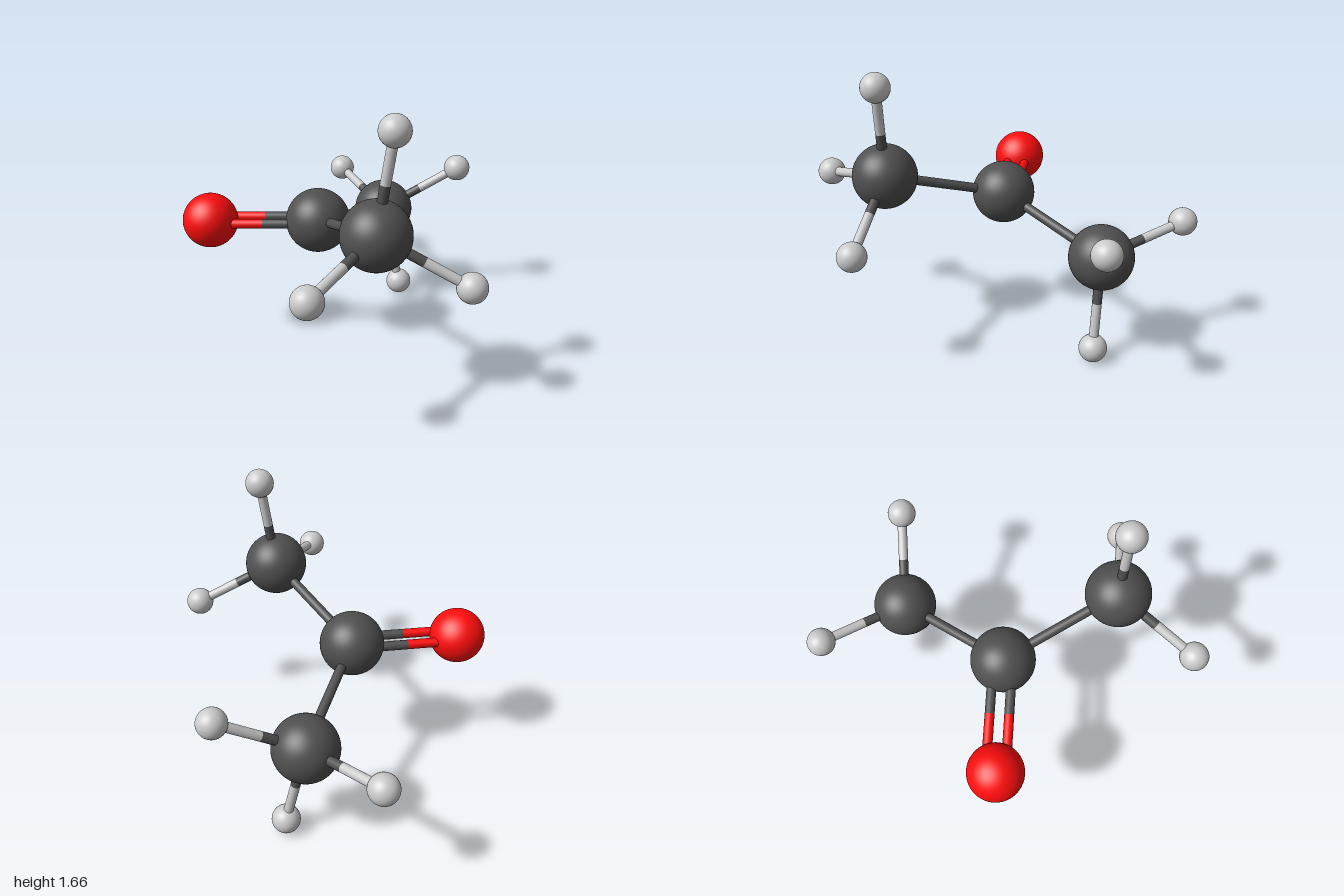
import * as THREE from 'three';

const materials = {
  carbon: new THREE.MeshStandardMaterial({ color: 0x505050 }),
  oxygen: new THREE.MeshStandardMaterial({ color: 0xff0d0d }),
  hydrogen: new THREE.MeshStandardMaterial({ color: 0xcccccc }),
};
const radii = { carbon: 0.188, oxygen: 0.162, hydrogen: 0.083 };
const BOND_RADIUS = 0.028;
const DOUBLE_OFFSET = 0.055;

// name: [element, x, y, z]
const atoms = {
  centralCarbon: ['carbon', -0.145, 0.82, -0.215],
  leftCarbon: ['carbon', 0.573, 0.632, -0.346],
  frontCarbon: ['carbon', -0.382, 1.028, 0.47],
  oxygen: ['oxygen', -0.565, 0.805, -0.698],
  frontHydrogenTop: ['hydrogen', -0.322, 1.577, 0.53],
  frontHydrogenRight: ['hydrogen', -0.918, 0.897, 0.537],
  frontHydrogenLow: ['hydrogen', -0.092, 0.766, 0.871],
  leftHydrogenUpper: ['hydrogen', 0.915, 0.914, -0.01],
  leftHydrogenBottom: ['hydrogen', 0.639, 0.085, -0.255],
  leftHydrogenBack: ['hydrogen', 0.71, 0.748, -0.873],
};

// [from, to, order]
const bonds = [
  ['centralCarbon', 'leftCarbon', 1],
  ['centralCarbon', 'frontCarbon', 1],
  ['centralCarbon', 'oxygen', 2],
  ['frontCarbon', 'frontHydrogenTop', 1],
  ['frontCarbon', 'frontHydrogenRight', 1],
  ['frontCarbon', 'frontHydrogenLow', 1],
  ['leftCarbon', 'leftHydrogenUpper', 1],
  ['leftCarbon', 'leftHydrogenBottom', 1],
  ['leftCarbon', 'leftHydrogenBack', 1],
];

const UP = new THREE.Vector3(0, 1, 0);

// Cylinder between two points
function rod(name, a, b, material) {
  const dir = b.clone().sub(a);
  const mesh = new THREE.Mesh(
    new THREE.CylinderGeometry(BOND_RADIUS, BOND_RADIUS, dir.length(), 24), material);
  mesh.position.copy(a).add(b).multiplyScalar(0.5);
  mesh.quaternion.setFromUnitVectors(UP, dir.normalize());
  mesh.name = name;
  return mesh;
}

export function createModel() {
  const model = new THREE.Group();
  model.name = 'molecule';
  const centre = (key) => new THREE.Vector3(...atoms[key].slice(1));

  // Atoms
  for (const [name, [element]] of Object.entries(atoms)) {
    const ball = new THREE.Mesh(
      new THREE.SphereGeometry(radii[element], 48, 32), materials[element]);
    ball.position.copy(centre(name));
    ball.name = name;
    model.add(ball);
  }

  // Bonds: each half takes the colour of its atom, double bonds lie side by side
  for (const [from, to, order] of bonds) {
    const group = new THREE.Group();
    group.name = `${from}To${to[0].toUpperCase()}${to.slice(1)}Bond`;
    const a = centre(from), b = centre(to);
    const side = b.clone().sub(a).cross(UP).normalize();
    for (const s of order === 2 ? [-1, 1] : [0]) {
      const shift = side.clone().multiplyScalar(s * DOUBLE_OFFSET);
      const p = a.clone().add(shift), q = b.clone().add(shift);
      const mid = p.clone().lerp(q, 0.5);
      group.add(rod('bondHalf', p, mid, materials[atoms[from][0]]));
      group.add(rod('bondHalf', mid, q, materials[atoms[to][0]]));
    }
    model.add(group);
  }
  return model;
}
